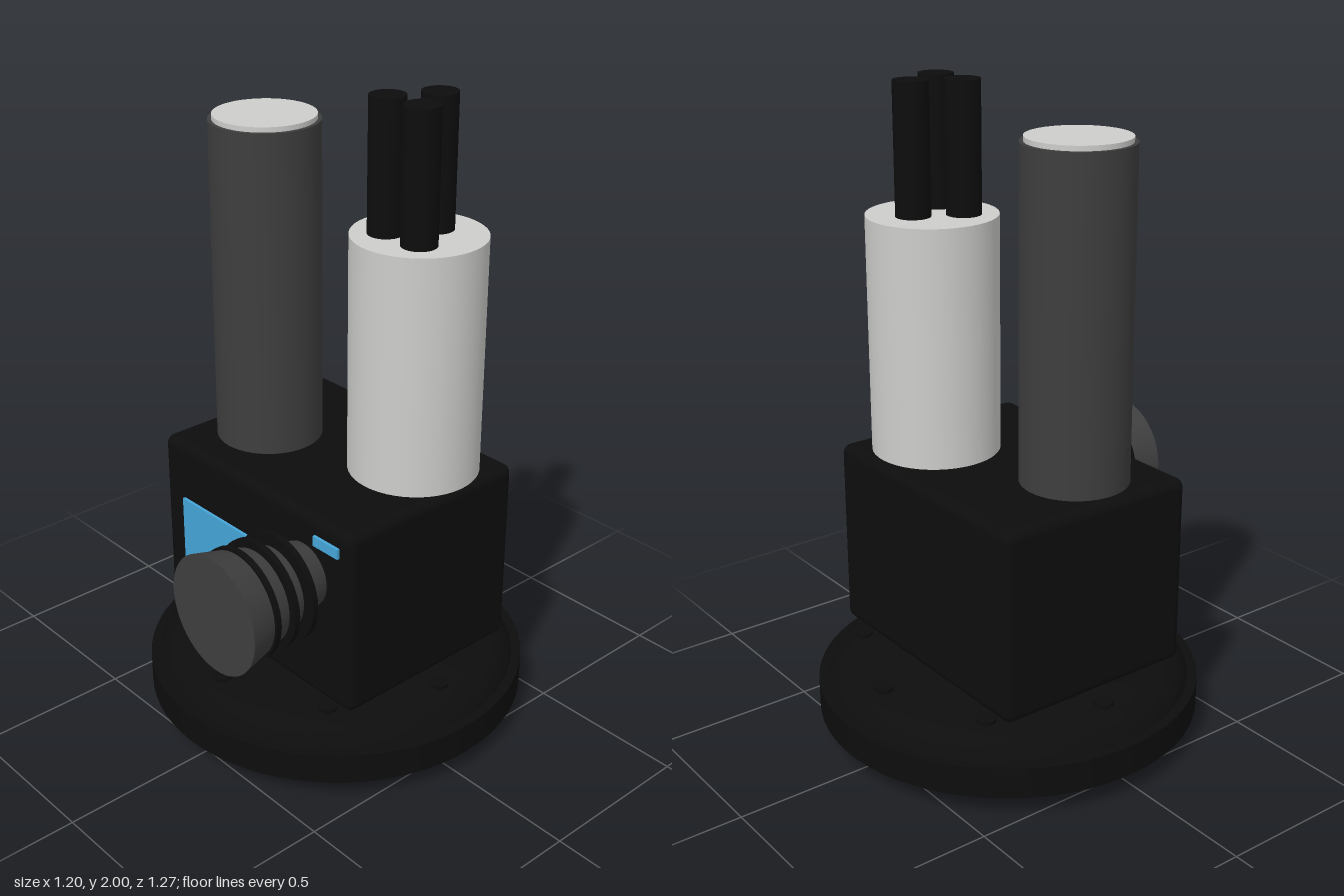
import * as THREE from 'three';
import { toCreasedNormals } from 'three/addons/utils/BufferGeometryUtils.js';
import { RoundedBoxGeometry } from 'three/addons/geometries/RoundedBoxGeometry.js';

function material(name, color) {
  const m = new THREE.MeshStandardMaterial({ color });
  m.name = name;
  return m;
}

export function createModel() {
  const black = material('black', 0x0d0d0d);
  const darkGrey = material('dark grey', 0x3e3e3e);
  const paleGrey = material('pale grey', 0xcdcdcb);
  const blue = material('screen blue', 0x45a5d8);

  const model = new THREE.Group();
  model.name = 'instrument';

  function add(name, geometry, mat, x, y, z, parent = model) {
    const mesh = new THREE.Mesh(geometry, mat);
    mesh.name = name;
    mesh.position.set(x, y, z);
    parent.add(mesh);
    return mesh;
  }

  // Upright cylinder given by its bottom and top heights
  function post(name, mat, radius, bottom, top, x, z, parent = model) {
    const geometry = new THREE.CylinderGeometry(radius, radius, top - bottom, 48);
    return add(name, geometry, mat, x, (bottom + top) / 2, z, parent);
  }

  // Round base with bevelled edges and a raised band
  const base = new THREE.Group();
  base.name = 'base';
  base.position.z = -0.035;
  model.add(base);
  const profile = [
    [0, 0], [0.49, 0], [0.515, 0.015], [0.56, 0.05], [0.568, 0.07],
    [0.598, 0.07], [0.598, 0.168], [0.568, 0.168], [0.56, 0.185],
    [0.53, 0.215], [0.485, 0.235], [0, 0.235],
  ].map(([r, y]) => new THREE.Vector2(r, y));
  add('baseDisc', toCreasedNormals(new THREE.LatheGeometry(profile, 72), 0.5), black, 0, 0, 0, base);

  // Ring of eight bolts on the base
  for (let i = 0; i < 8; i++) {
    const a = (i * Math.PI) / 4;
    const x = 0.467 * Math.cos(a);
    const z = 0.467 * Math.sin(a);
    post('boltShank', black, 0.02, 0.225, 0.246, x, z, base);
    post('boltHead', black, 0.03, 0.245, 0.256, x, z, base);
  }

  // Rounded housing
  add('housing', new RoundedBoxGeometry(0.865, 0.6, 0.665, 4, 0.03), black, -0.002, 0.57, -0.033);

  // Tall dark tube with a pale cap
  post('tallTube', darkGrey, 0.165, 0.868, 1.87, -0.235, 0.033);
  post('tallTubeCap', paleGrey, 0.153, 1.868, 1.885, -0.235, 0.033);

  // Pale tube holding three rods
  post('paleTube', paleGrey, 0.199, 0.87, 1.605, 0.232, -0.136);
  for (const [x, z] of [[0.233, -0.202], [0.166, -0.068], [0.3, -0.068]]) {
    post('rod', black, 0.053, 1.6, 2, x, z);
  }

  // Flared horn on the front, with three rings
  const horn = new THREE.Group();
  horn.name = 'horn';
  horn.position.set(0.23, 0.67, 0);
  model.add(horn);
  const flare = new THREE.CylinderGeometry(0.182, 0.098, 0.342, 48).rotateX(Math.PI / 2);
  add('hornBody', flare, darkGrey, 0, 0, 0.461, horn);
  const ringGeometry = new THREE.CylinderGeometry(0.168, 0.168, 0.018, 48).rotateX(Math.PI / 2);
  for (const z of [0.4, 0.467, 0.534]) add('hornRing', ringGeometry, black, 0, 0, z, horn);

  // Blue screen and small indicator on the front
  add('screen', new THREE.BoxGeometry(0.4, 0.23, 0.0098), blue, -0.135, 0.57, 0.3042);
  add('indicator', new THREE.BoxGeometry(0.105, 0.032, 0.0098), blue, 0.332, 0.804, 0.3042);

  return model;
}
